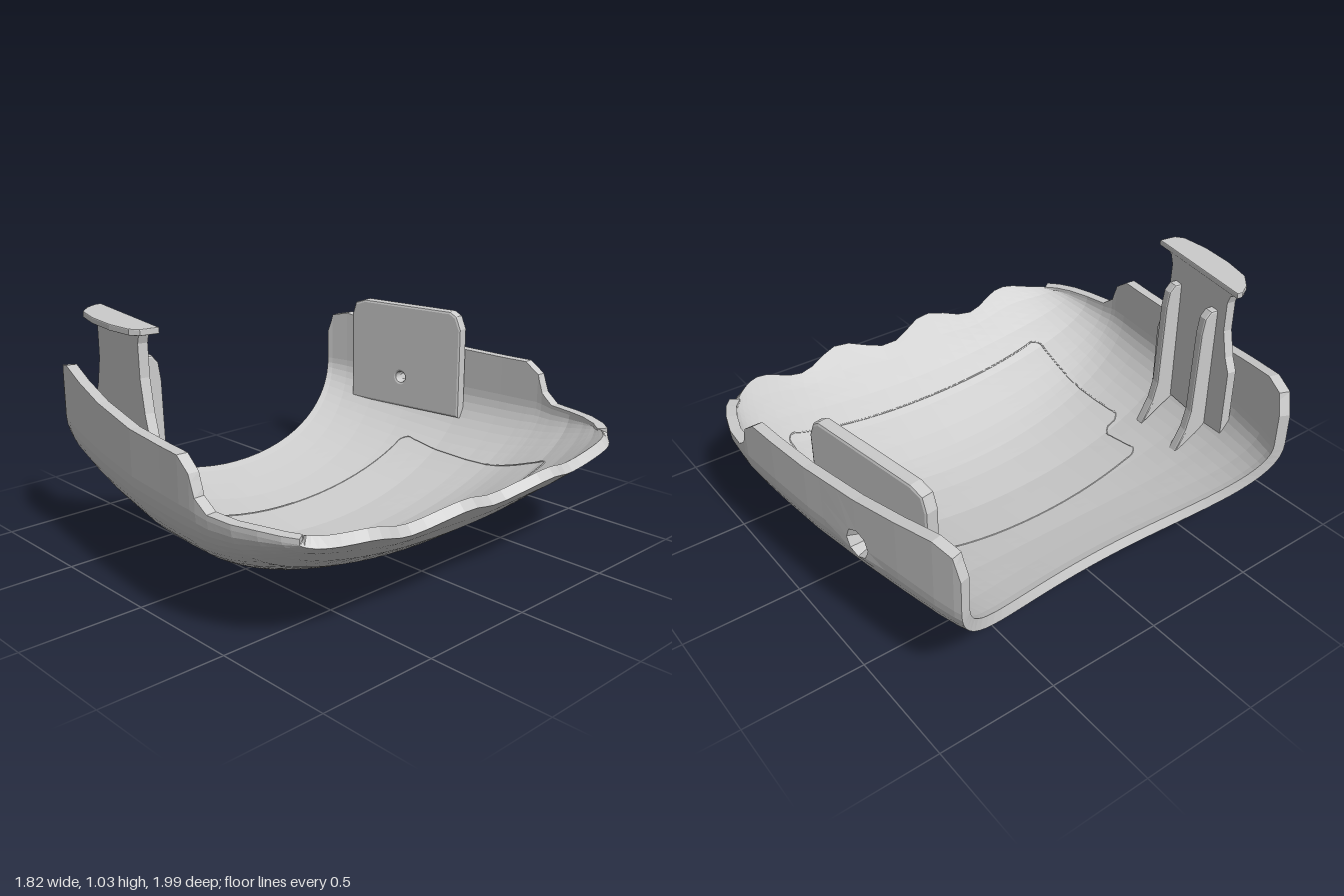
import * as THREE from 'three';

const grey = new THREE.MeshStandardMaterial({ color: 0xcccccc, flatShading: true, side: THREE.DoubleSide });

// Hull stations: bottom x, rim x, bottom y, belt y, rim y, front half width, back half width, sweep power
const stations = [
  [-0.70, -0.92, 0.130, 0.50, 0.64, 0.74, 0.84, 2],
  [-0.66, -0.89, 0.115, 0.50, 0.73, 0.755, 0.85, 2],
  [-0.55, -0.80, 0.085, 0.50, 0.75, 0.79, 0.87, 2],
  [-0.42, -0.62, 0.052, 0.50, 0.722, 0.84, 0.90, 2],
  [-0.28, -0.40, 0.028, 0.49, 0.69, 0.89, 0.93, 2],
  [-0.06, -0.10, 0.002, 0.48, 0.665, 0.945, 0.965, 2],
  [0.12, 0.12, 0.008, 0.48, 0.66, 0.97, 0.985, 2],
  [0.22, 0.25, 0.022, 0.48, 0.66, 0.985, 0.995, 2],
  [0.29, 0.32, 0.042, 0.48, 0.61, 0.99, 1.0, 2],
  [0.34, 0.35, 0.058, 0.475, 0.53, 0.99, 1.0, 2],
  [0.43, 0.41, 0.095, 0.465, 0.485, 0.985, 0.995, 2],
  [0.56, 0.52, 0.16, 0.46, 0.48, 0.97, 0.985, 3],
  [0.69, 0.62, 0.245, 0.46, 0.48, 0.94, 0.955, 4],
  [0.80, 0.70, 0.335, 0.455, 0.475, 0.905, 0.92, 5],
  [0.872, 0.75, 0.405, 0.45, 0.47, 0.87, 0.88, 6],
];
const SUB = 3, ARC = 36, COLS = ARC + 5, ROWS = (stations.length - 1) * SUB + 1;
const THICK = 0.045;

function hullPoint(i, j) {
  const k = Math.min(Math.floor(i / SUB), stations.length - 2), t = i / SUB - k;
  const [xb, xr, yb, yB, yTop, zf, zk, e] = stations[k].map((a, n) => THREE.MathUtils.lerp(a, stations[k + 1][n], t));
  const a = THREE.MathUtils.clamp((j - 2) / ARC - 0.5, -0.5, 0.5) * Math.PI;
  const s = Math.sin(a), z = s * (s > 0 ? zf : zk);
  const wall = Math.max(2 - j, j - (ARC + 2), 0) / 2; // straight wall above the belt
  const x = xb + (xr - xb) * Math.abs(s) ** e;
  const y = yb + (yB - yb) * (1 - Math.cos(a)) + (yTop - yB) * wall;
  // scalloped lip at the right end
  const lip = Math.max(0, 1 - (ROWS - 1 - i) / 6) ** 1.5 * (1 - s ** 6);
  const wave = 0.028 * lip * Math.cos(2 * Math.PI * (Math.abs(z + 0.04) - 0.24) / 0.47);
  return new THREE.Vector3(x + wave, y + wave * 0.9, z);
}

function geometryOf(points, index) {
  const g = new THREE.BufferGeometry().setFromPoints(points);
  g.setIndex(index);
  g.computeVertexNormals();
  return g;
}

const hole = { row: 4 * SUB, col: 2, r: 0.06 };
const ring = [[-1, -1], [0, -1], [1, -1], [1, 0], [1, 1], [0, 1], [-1, 1], [-1, 0]];

function buildHull(group) {
  const id = (i, j) => i * COLS + j;
  const outer = [], skin = [];
  for (let i = 0; i < ROWS; i++) for (let j = 0; j < COLS; j++) outer.push(hullPoint(i, j));
  for (let i = 0; i < ROWS - 1; i++) for (let j = 0; j < COLS - 1; j++) {
    // leave a screw hole open in the back wall
    const inHole = Math.abs(i + 0.5 - hole.row) < 1 && Math.abs(j + 0.5 - hole.col) < 1;
    if (inHole) continue;
    skin.push(id(i, j), id(i + 1, j), id(i, j + 1), id(i + 1, j), id(i + 1, j + 1), id(i, j + 1));
  }
  const c = outer[id(hole.row, hole.col)].clone();
  const rim = ring.map(([di, dj]) => {
    const p = outer[id(hole.row + di, hole.col + dj)];
    const a = Math.atan2(-dj, di);
    p.x = c.x + hole.r * Math.cos(a);
    p.y = c.y + hole.r * Math.sin(a);
    p.z = c.z - 0.14 * (p.x - c.x);
    return p;
  });
  const normal = geometryOf(outer, skin).attributes.normal;
  const inner = outer.map((p, n) => p.clone().addScaledVector(new THREE.Vector3().fromBufferAttribute(normal, n), -THICK));
  const N = outer.length, index = [...skin];
  for (let n = 0; n < skin.length; n += 3) index.push(skin[n] + N, skin[n + 2] + N, skin[n + 1] + N);
  // close the rim around the whole border
  const border = [];
  for (let j = 0; j < COLS - 1; j++) border.push(id(0, j));
  for (let i = 0; i < ROWS - 1; i++) border.push(id(i, COLS - 1));
  for (let j = COLS - 1; j > 0; j--) border.push(id(ROWS - 1, j));
  for (let i = ROWS - 1; i > 0; i--) border.push(id(i, 0));
  border.forEach((a, n) => {
    const b = border[(n + 1) % border.length];
    index.push(a, b, a + N, b, b + N, a + N);
  });
  const hull = add(group, 'hullShell', geometryOf([...outer, ...inner], index));

  // countersink from the outer wall down to the small hole in the tab
  const small = rim.map(p => new THREE.Vector3(c.x + (p.x - c.x) * 0.42, c.y + (p.y - c.y) * 0.42, p.z + 0.08));
  const cone = [];
  for (let n = 0; n < 8; n++) {
    const m = (n + 1) % 8;
    cone.push(n, m, n + 8, m, m + 8, n + 8);
  }
  add(group, 'screwCountersink', geometryOf([...rim, ...small], cone));
  return { hull, c };
}

function add(parent, name, geometry) {
  const mesh = new THREE.Mesh(geometry, grey);
  mesh.name = name;
  parent.add(mesh);
  return mesh;
}

function plate(points, depth, bevel = 0, holes = []) {
  const shape = new THREE.Shape(points.map(p => new THREE.Vector2(...p)));
  shape.holes.push(...holes);
  const g = new THREE.ExtrudeGeometry(shape, {
    depth: depth - 2 * bevel, bevelEnabled: bevel > 0, bevelThickness: bevel, bevelSize: bevel, bevelOffset: -bevel, bevelSegments: 2,
  });
  return g.translate(0, 0, bevel - depth / 2);
}

export function createModel() {
  const model = new THREE.Group();
  model.name = 'scallopedShell';
  const { hull, c } = buildHull(model);

  // back tab, parallel to the back wall, with a screw hole
  const tab = new THREE.Group();
  tab.name = 'backTab';
  tab.position.set(c.x, 0, c.z + 0.095);
  tab.rotation.y = 0.14;
  const drill = new THREE.Path().absarc(0, c.y, 0.025, 0, Math.PI * 2, true);
  add(tab, 'tabPlate', plate([[-0.3, 0.34], [0.34, 0.34], [0.34, 0.77], [0.315, 0.83], [0.28, 0.85],
    [-0.22, 0.85], [-0.28, 0.83], [-0.3, 0.77]], 0.055, 0.012, [drill]));
  model.add(tab);

  // front bracket: flared stem, curved flange and two ribs
  const bracket = new THREE.Group();
  bracket.name = 'frontBracket';
  bracket.position.set(-0.33, 0, 0.805);
  bracket.rotation.y = -0.17;
  const stem = [[-0.26, 0.34], [0.25, 0.34], [0.25, 0.62], [0.22, 0.7], [0.19, 0.83], [0.185, 0.96], [0.2, 1.0], [0.23, 1.015],
    [-0.25, 1.015], [-0.215, 1.0], [-0.2, 0.96], [-0.2, 0.83], [-0.23, 0.72], [-0.26, 0.66]];
  add(bracket, 'bracketStem', plate(stem, 0.04));
  const flange = plate([[-0.26, 0.025], [0.28, 0.025], [0.28, -0.05], [0.25, -0.08], [0.13, -0.105],
    [-0.02, -0.11], [-0.15, -0.095], [-0.22, -0.05], [-0.26, 0.0]], 0.025, 0.004);
  add(bracket, 'bracketFlange', flange.rotateX(-Math.PI / 2).translate(0, 1.022, 0));
  const ribSide = [[0, 0.34], [0, 0.9], [0.05, 0.9], [0.075, 0.87], [0.085, 0.8], [0.095, 0.42], [0.115, 0.33], [0.165, 0.22]];
  for (const x of [-0.125, 0.13]) {
    add(bracket, 'bracketRib', plate(ribSide, 0.045, 0.008).rotateY(Math.PI / 2).translate(x, 0, 0));
  }
  model.add(bracket);

  // thin panel outline laid on the inner floor
  const corners = [[-0.28, -0.72], [0.57, -0.72], [0.57, 0.66], [-0.05, 0.66], [-0.05, 0.56], [-0.28, 0.56]];
  const ray = new THREE.Raycaster(), down = new THREE.Vector3(0, -1, 0), path = [];
  corners.forEach(([x, z], n) => {
    const [x2, z2] = corners[(n + 1) % corners.length];
    const length = Math.hypot(x2 - x, z2 - z), inset = 0.03 / length, steps = Math.ceil(length / 0.04);
    for (let s = 0; s <= steps; s++) {
      const t = inset + (1 - 2 * inset) * s / steps;
      ray.set(new THREE.Vector3(x + (x2 - x) * t, 1.5, z + (z2 - z) * t), down);
      const hit = ray.intersectObject(hull)[0];
      if (hit) path.push(hit.point);
    }
  });
  add(model, 'floorPanelOutline', new THREE.TubeGeometry(new THREE.CatmullRomCurve3(path, true), 320, 0.004, 5, true));

  return model;
}
